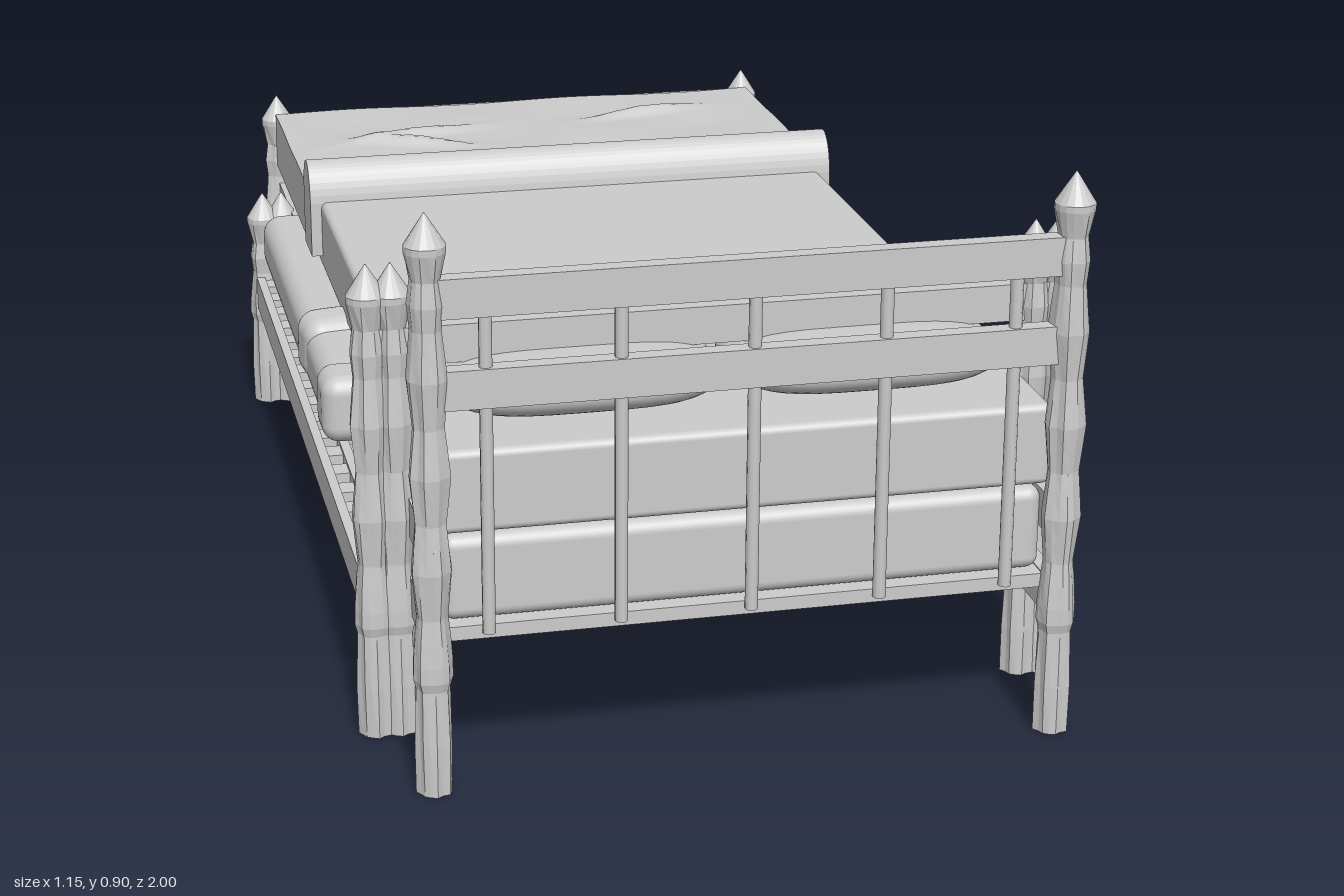
import * as THREE from 'three';
import { RoundedBoxGeometry } from 'three/addons/geometries/RoundedBoxGeometry.js';

const material = new THREE.MeshStandardMaterial({ color: 0xcccccc });
const logMaterial = new THREE.MeshStandardMaterial({ color: 0xcccccc, flatShading: true });

export function createModel() {
  const model = new THREE.Group();

  const add = (name, geometry, x, y, z, mat = material) => {
    const mesh = new THREE.Mesh(geometry, mat);
    mesh.name = name;
    mesh.position.set(x, y, z);
    model.add(mesh);
    return mesh;
  };
  // boxes given by their lower and upper corners
  const plank = (name, x0, x1, y0, y1, z0, z1) =>
    add(name, new THREE.BoxGeometry(x1 - x0, y1 - y0, z1 - z0), (x0 + x1) / 2, (y0 + y1) / 2, (z0 + z1) / 2);
  const soft = (name, x0, x1, y0, y1, z0, z1, r) =>
    add(name, new RoundedBoxGeometry(x1 - x0, y1 - y0, z1 - z0, 4, r), (x0 + x1) / 2, (y0 + y1) / 2, (z0 + z1) / 2);

  // rough log post with swellings, a flared head and a pointed cap
  function post(name, x, z, height) {
    const pts = [[0, 0], [0.026, 0], [0.027, 0.08], [0.025, 0.17], [0.029, 0.185], [0.029, 0.21]];
    const top = height - 0.1;
    const swells = Math.max(1, Math.round((top - 0.21) / 0.17));
    for (let i = 1; i <= swells * 4; i++) {
      const t = i / (swells * 4);
      pts.push([0.0265 + 0.0035 * Math.cos(t * swells * 2 * Math.PI) - (t === 1 ? 0.008 : 0), 0.21 + t * (top - 0.21)]);
    }
    pts.push([0.031, height - 0.058], [0.031, height - 0.048], [0.0005, height]);
    const geometry = new THREE.LatheGeometry(pts.map(([r, y]) => new THREE.Vector2(r, y)), 16);
    const p = geometry.attributes.position;
    for (let i = 0; i < p.count; i++) {
      const px = p.getX(i), py = p.getY(i), pz = p.getZ(i);
      if (py > height - 0.09) continue;
      const a = Math.atan2(px, pz);
      const k = 1 + 0.06 * Math.sin(5 * a + py * 11 + x * 7) + 0.05 * Math.cos(8 * a - py * 5);
      p.setXYZ(i, px * k, py, pz * k);
    }
    geometry.computeVertexNormals();
    add(name, geometry, x, 0, z, logMaterial);
  }

  // plump cushion with a rounded rectangular outline
  function pillow(name, x, y, z, w, h, d) {
    const geometry = new THREE.SphereGeometry(1, 40, 20);
    const p = geometry.attributes.position;
    const push = (v, e) => Math.sign(v) * Math.abs(v) ** e;
    for (let i = 0; i < p.count; i++) {
      const px = p.getX(i), py = p.getY(i), pz = p.getZ(i);
      const r = Math.hypot(px, pz) || 1;
      const q = Math.sqrt(r);
      p.setXYZ(i, push(px / r, 0.55) * q * w / 2, py * h / 2, push(pz / r, 0.55) * q * d / 2);
    }
    geometry.computeVertexNormals();
    add(name, geometry, x, y, z);
  }

  // main bed posts, side rails and the lower beds' posts and rails
  for (const s of [-1, 1]) {
    post('headPost', s * 0.485, 0.967, 0.905);
    post('footPost', s * 0.485, -0.967, 0.57);
    for (const y of [0.2, 0.33])
      plank('sideRail', s * 0.475 - 0.012, s * 0.475 + 0.012, y, y + 0.062, -0.96, 0.96);
    for (const x of [0.505, 0.542]) {
      post('trundleHeadPost', s * x, 0.755, 0.765);
      post('trundleFootPost', s * x, -0.755, 0.43);
    }
    for (const x of [0.51, 0.552])
      plank('trundleSideRail', s * x - 0.008, s * x + 0.008, 0.2, 0.262, -0.75, 0.75);
  }

  // headboard, footboard and the lower beds' end rails
  for (const y of [0.747, 0.608]) plank('headboardRail', -0.485, 0.485, y, y + 0.06, 0.953, 0.981);
  for (let i = -2; i <= 2; i++)
    add('headboardSpindle', new THREE.CylinderGeometry(0.01, 0.01, 0.51, 10), i * 0.2, 0.505, 0.967);
  for (const y of [0.2, 0.33, 0.465]) plank('footboardRail', -0.485, 0.485, y, y + 0.062, -0.98, -0.954);
  plank('trundleHeadRail', -0.53, 0.53, 0.605, 0.665, 0.74, 0.77);
  plank('trundleFootRail', -0.53, 0.53, 0.33, 0.39, -0.77, -0.74);

  // slats
  for (let i = 0; i < 18; i++) {
    const z = -0.935 + i * 0.11;
    plank('slat', -0.475, 0.475, 0.238, 0.26, z - 0.025, z + 0.025);
  }
  for (let i = 0; i < 18; i++) {
    const z = -0.71 + i * 0.0835;
    plank('trundleSlat', -0.55, 0.55, 0.236, 0.256, z - 0.022, z + 0.022);
  }

  // mattresses
  soft('lowerMattress', -0.465, 0.465, 0.26, 0.395, -0.94, 0.945, 0.02);
  soft('upperMattress', -0.475, 0.475, 0.4, 0.53, -0.935, 0.945, 0.012);
  soft('trundleMattress', -0.493, 0.493, 0.262, 0.393, -0.73, 0.735, 0.02);

  // pillows
  for (const s of [-1, 1]) {
    pillow('pillow', s * 0.222, 0.574, 0.748, 0.43, 0.085, 0.27);
    pillow('trundlePillow', s * 0.28, 0.365, 0.42, 0.43, 0.08, 0.22);
  }

  // blanket over the lower beds, with its turned-down hem and slanted folds
  soft('trundleBlanket', -0.548, 0.548, 0.29, 0.4, -0.72, 0.2, 0.035);
  soft('trundleBlanketHem', -0.554, 0.554, 0.287, 0.404, 0.16, 0.27, 0.03);
  for (const [s, z] of [[1, -0.25], [-1, -0.04]]) {
    const fold = add('trundleBlanketFold', new RoundedBoxGeometry(0.11, 0.12, 0.1, 4, 0.035), s * 0.5, 0.36, z);
    fold.rotation.set(0.08, 0.15, 0);
  }

  // creased cover at the foot of the main bed
  const cover = new THREE.BoxGeometry(0.98, 0.107, 0.53, 70, 3, 50);
  const p = cover.attributes.position;
  const creases = [[-0.42, -0.68, -0.06, -0.78], [-0.4, -0.73, -0.1, -0.62], [0.07, -0.76, 0.4, -0.83], [0.07, -0.49, 0.4, -0.57]];
  for (let i = 0; i < p.count; i++) {
    if (p.getY(i) < 0.05) continue;
    const x = p.getX(i), z = p.getZ(i) - 0.68;
    let lift = 0.002 * Math.sin(x * 14) * Math.sin(z * 25);
    for (const [ax, az, bx, bz] of creases) {
      const dx = bx - ax, dz = bz - az, len = Math.hypot(dx, dz);
      const along = ((x - ax) * dx + (z - az) * dz) / (len * len) - 0.5;
      const across = ((x - ax) * dz - (z - az) * dx) / len;
      lift += 0.016 * Math.exp(-((along / 0.3) ** 2) - (across / 0.016) ** 2);
    }
    p.setY(i, p.getY(i) + lift);
  }
  cover.computeVertexNormals();
  add('cover', cover, 0, 0.483, -0.68);

  // thick rounded fold along the cover's upper edge
  const arch = new THREE.Shape();
  arch.moveTo(-0.05, 0);
  arch.lineTo(0.05, 0);
  arch.lineTo(0.05, 0.1);
  arch.bezierCurveTo(0.045, 0.15, 0.02, 0.17, 0, 0.17);
  arch.bezierCurveTo(-0.03, 0.17, -0.05, 0.14, -0.05, 0.1);
  arch.closePath();
  const roll = new THREE.ExtrudeGeometry(arch, { depth: 0.99, bevelEnabled: false, curveSegments: 10 });
  roll.translate(0, 0, -0.495);
  roll.rotateY(-Math.PI / 2);
  add('coverFold', roll, 0, 0.428, -0.385);

  return model;
}
